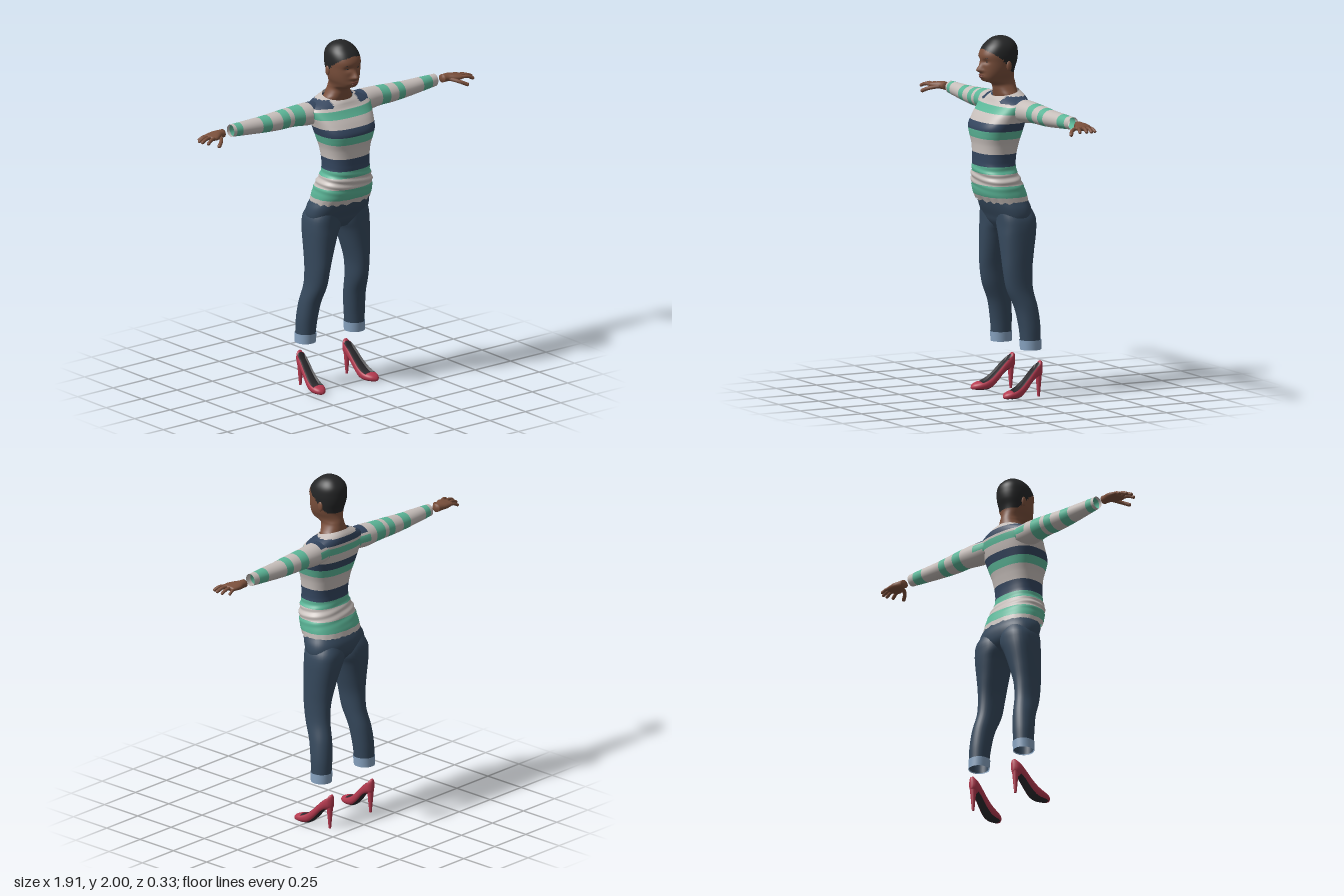
import * as THREE from 'three';

const mat = (name, color, side = THREE.FrontSide) => {
  const m = new THREE.MeshStandardMaterial({ color, side });
  m.name = name;
  return m;
};

const skin = mat('skin', 0x7b503c);
const hair = mat('hair black', 0x242526);
const lips = mat('lips', 0x6b3c33);
const grey = mat('shirt grey', 0xc6beba, THREE.DoubleSide);
const green = mat('shirt green', 0x5cb698, THREE.DoubleSide);
const navy = mat('shirt navy', 0x34465f, THREE.DoubleSide);
const denim = mat('denim', 0x36495d, THREE.DoubleSide);
const cuffBlue = mat('cuff blue', 0x88a4c2, THREE.DoubleSide);
const red = mat('shoe red', 0xb63a50);
const black = mat('sole black', 0x2c2a2e);

// Smooth value of every column of the sections at position t
function sample(sec, t) {
  let i = 0;
  while (i < sec.length - 2 && t > sec[i + 1][0]) i++;
  const a = sec[i], b = sec[i + 1], p = sec[i - 1] || a, q = sec[i + 2] || b;
  const h = b[0] - a[0], k = (t - a[0]) / h, k2 = k * k, k3 = k2 * k;
  return a.map((v, j) => {
    const ma = (b[j] - p[j]) / (b[0] - p[0]) * h, mb = (q[j] - v) / (q[0] - a[0]) * h;
    return (2 * k3 - 3 * k2 + 1) * v + (k3 - 2 * k2 + k) * ma + (3 * k2 - 2 * k3) * b[j] + (k3 - k2) * mb;
  });
}

// Lofts superellipse sections [t, uMin, uMax, vMin, vMax, exponent];
// map places a point in space, pick gives the material of each quad
function loft(name, sec, { n = 32, rows = 30, ease = k => k, map, pick, mats, flip = false, cap = false }) {
  const t0 = sec[0][0], t1 = sec[sec.length - 1][0], rings = [];
  const spow = (x, e) => Math.sign(x) * Math.pow(Math.abs(x), 2 / e);
  for (let r = 0; r <= rows; r++) {
    const [t, u0, u1, v0, v1, e] = sample(sec, t0 + (t1 - t0) * ease(r / rows));
    rings.push(Array.from({ length: n }, (_, i) => {
      const a = i / n * Math.PI * 2, c = Math.cos(a), s = Math.sin(a);
      return map((u0 + u1) / 2 + (u1 - u0) / 2 * spow(c, e), t, (v0 + v1) / 2 + (v1 - v0) / 2 * spow(s, e), c, s);
    }));
  }
  if (cap) {
    const middle = ring => {
      const m = new THREE.Vector3();
      ring.forEach(p => m.addScaledVector(p, 1 / n));
      return ring.map(() => m);
    };
    rings.unshift(middle(rings[0]));
    rings.push(middle(rings[rings.length - 1]));
  }
  const faces = mats.map(() => []);
  for (let r = 0; r < rings.length - 1; r++) for (let i = 0; i < n; i++) {
    const j = (i + 1) % n, am = (i + 0.5) / n * Math.PI * 2;
    const centre = rings[r][i].clone().add(rings[r][j]).add(rings[r + 1][i]).add(rings[r + 1][j]).multiplyScalar(0.25);
    const f = faces[pick ? mats.indexOf(pick(centre, Math.cos(am), Math.sin(am))) : 0];
    const a = r * n + i, b = r * n + j, c = a + n, d = b + n;
    if (flip) f.push(a, b, c, b, d, c);
    else f.push(a, c, b, b, c, d);
  }
  const geo = new THREE.BufferGeometry().setFromPoints(rings.flat());
  geo.setIndex(faces.flat());
  let start = 0;
  faces.forEach((f, k) => { geo.addGroup(start, f.length, k); start += f.length; });
  geo.computeVertexNormals();
  const mesh = new THREE.Mesh(geo, mats.length > 1 ? mats : mats[0]);
  mesh.name = name;
  return mesh;
}

const V = (x, y, z) => new THREE.Vector3(x, y, z);
const sym = rows => rows.map(([y, r, back, front, e = 2.2]) => [y, -r, r, back, front, e]);
const bump = (d, w) => Math.exp(-(d * d) / (w * w));
const clamp = THREE.MathUtils.clamp;
const inside = (v, ranges) => ranges.some(([a, b]) => v > a && v < b);

function ball(name, material, pos, scale) {
  const m = new THREE.Mesh(new THREE.SphereGeometry(1, 16, 12), material);
  m.name = name;
  m.position.set(...pos);
  m.scale.set(...scale);
  return m;
}

// Shirt stripes by height, with navy yoke patches on the shoulders
function stripe({ x, y, z }) {
  const ax = Math.abs(x);
  if (inside(y, [[1.635, 1.67]]) && ax < 0.19 && (ax > 0.09 || z < -0.05)) return navy;
  if (inside(y, [[1.485, 1.53], [1.285, 1.355]])) return navy;
  if (inside(y, [[1.58, 1.62], [1.44, 1.485], [1.245, 1.285], [1.115, 1.18]])) return green;
  return grey;
}

function head() {
  const g = new THREE.Group();
  g.name = 'head';
  g.add(loft('headAndNeck', sym([
    [1.62, 0.085, -0.09, 0.02], [1.67, 0.088, -0.088, 0.034], [1.70, 0.07, -0.086, 0.042],
    [1.725, 0.058, -0.082, 0.05], [1.738, 0.057, -0.08, 0.068], [1.75, 0.059, -0.077, 0.108],
    [1.765, 0.064, -0.073, 0.121], [1.79, 0.075, -0.07, 0.123], [1.82, 0.083, -0.075, 0.124],
    [1.86, 0.088, -0.088, 0.125], [1.9, 0.09, -0.092, 0.126], [1.94, 0.083, -0.087, 0.106],
    [1.97, 0.064, -0.066, 0.076], [1.99, 0.036, -0.036, 0.045], [2.0, 0.001, 0.003, 0.005],
  ]), {
    n: 72, rows: 80, ease: k => 1 - Math.pow(1 - k, 1.4), mats: [skin, hair],
    // Nose, eye sockets, mouth and chin are pushed out of the face
    map: (x, y, z) => {
      if (z > 0.05) {
        const nose = y > 1.812 ? bump(y - 1.812, 0.03) : bump(y - 1.812, 0.011);
        z += 0.031 * nose * bump(x, 0.014 + 0.006 * bump(y - 1.808, 0.012));
        z -= 0.011 * bump(Math.abs(x) - 0.035, 0.02) * bump(y - 1.862, 0.013);
        z += 0.008 * bump(x, 0.028) * bump(y - 1.779, 0.013);
        z -= 0.004 * bump(x, 0.03) * bump(y - 1.762, 0.006);
      }
      return V(x, y, z);
    },
    pick: ({ y, z }) => y > (z > 0.03 ? 1.87 + (z - 0.03) * 0.7 : 1.8 + clamp(z + 0.03, 0, 0.06) * 1.17) ? hair : skin,
  }));
  for (const s of [1, -1]) {
    g.add(ball('ear', skin, [s * 0.088, 1.838, -0.004], [0.008, 0.028, 0.016]));
    g.add(ball('eye', hair, [s * 0.035, 1.861, 0.1045], [0.012, 0.0035, 0.006]));
    g.add(ball('eyebrow', hair, [s * 0.037, 1.884, 0.112], [0.018, 0.0025, 0.006]));
  }
  g.add(ball('upperLip', lips, [0, 1.784, 0.124], [0.024, 0.005, 0.009]));
  g.add(ball('lowerLip', lips, [0, 1.775, 0.123], [0.02, 0.006, 0.01]));
  return g;
}

function torso() {
  return loft('shirtBody', sym([
    [1.085, 0.175, -0.128, 0.115, 2.5], [1.13, 0.173, -0.118, 0.138, 2.5], [1.2, 0.163, -0.09, 0.15, 2.5],
    [1.26, 0.14, -0.065, 0.152, 2.5], [1.32, 0.135, -0.062, 0.15, 2.5], [1.4, 0.143, -0.075, 0.152, 2.6],
    [1.46, 0.16, -0.09, 0.162, 2.7], [1.5, 0.172, -0.1, 0.163, 2.7], [1.55, 0.185, -0.112, 0.135, 2.6],
    [1.6, 0.2, -0.12, 0.095, 2.5], [1.63, 0.2, -0.122, 0.075, 2.4], [1.655, 0.175, -0.12, 0.065, 2.3],
    [1.68, 0.13, -0.112, 0.057, 2.2], [1.7, 0.094, -0.096, 0.047, 2],
  ]), {
    n: 64, rows: 123, mats: [grey, green, navy], pick: stripe,
    // Waist folds, uneven hem and a neckline that drops at the front
    map: (x, y, z, c, s) => {
      const fold = 1 + 0.025 * bump(y - 1.22, 0.05) * Math.sin(y * 160 + x * 22 + z * 9);
      const hem = 0.006 * Math.sin(Math.atan2(s, c) * 17) * clamp((1.12 - y) / 0.035, 0, 1);
      const drop = 0.035 * clamp((y - 1.62) / 0.08, 0, 1) * (0.5 + 0.5 * s);
      return V(x * fold, y - drop + hem, z * fold);
    },
  });
}

function arm(s) {
  const g = new THREE.Group();
  g.name = s > 0 ? 'leftArm' : 'rightArm';
  const bands = s > 0 ? [[0.3, 0.36], [0.42, 0.47], [0.61, 0.68]] : [[0.25, 0.32], [0.35, 0.4], [0.47, 0.53], [0.66, 0.7]];
  const map = (y, x, z) => V(s * x, y, z);
  g.add(loft('sleeve', [
    [0.12, 1.54, 1.66, -0.112, 0.02, 2], [0.2, 1.535, 1.661, -0.12, 0.018, 2], [0.3, 1.544, 1.655, -0.12, 0.004, 2],
    [0.4, 1.545, 1.649, -0.117, 0, 2], [0.5, 1.55, 1.642, -0.113, -0.01, 2], [0.6, 1.558, 1.64, -0.108, -0.02, 2],
    [0.72, 1.568, 1.637, -0.1, -0.035, 2],
  ], {
    n: 28, rows: 60, map, flip: s > 0, mats: [grey, green, navy],
    pick: p => Math.abs(p.x) < 0.2 ? stripe(p) : inside(Math.abs(p.x), bands) ? green : grey,
  }));
  g.add(loft('palm', [
    [0.772, 1.576, 1.622, -0.095, -0.045, 2], [0.8, 1.578, 1.622, -0.098, -0.04, 2], [0.83, 1.58, 1.62, -0.105, -0.02, 2.3],
    [0.86, 1.583, 1.615, -0.103, -0.006, 2.5], [0.888, 1.587, 1.61, -0.098, -0.012, 2.5],
  ], { n: 20, rows: 12, map, flip: s > 0, mats: [skin], cap: true }));
  // Fingers and thumb: [base, middle, tip, radius]
  const digits = [
    [[0.87, 1.6, -0.021], [0.905, 1.6, -0.007], [0.932, 1.588, 0.002], 0.0095],
    [[0.87, 1.6, -0.044], [0.915, 1.602, -0.036], [0.947, 1.59, -0.031], 0.0095],
    [[0.87, 1.6, -0.067], [0.91, 1.6, -0.065], [0.942, 1.587, -0.064], 0.009],
    [[0.865, 1.598, -0.09], [0.895, 1.596, -0.094], [0.918, 1.584, -0.098], 0.008],
    [[0.81, 1.595, -0.045], [0.845, 1.583, 0.005], [0.875, 1.568, 0.026], 0.0105],
  ];
  for (const [a, b, c, r] of digits) {
    const pts = [a, b, c].map(([x, y, z]) => V(s * x, y, z));
    const finger = new THREE.Mesh(new THREE.TubeGeometry(new THREE.CatmullRomCurve3(pts), 8, r, 10), skin);
    finger.name = 'finger';
    g.add(finger, ball('fingertip', skin, pts[2].toArray(), [r, r, r]));
  }
  return g;
}

function leg(s) {
  const g = new THREE.Group();
  g.name = s > 0 ? 'leftLeg' : 'rightLeg';
  const map = (x, y, z) => V(s * x, y, z);
  g.add(loft('trouserLeg', [
    [0.272, 0.122, 0.225, -0.146, -0.039, 2.1], [0.32, 0.118, 0.226, -0.148, -0.035, 2.1], [0.4, 0.11, 0.225, -0.148, -0.026, 2.1],
    [0.5, 0.1, 0.215, -0.138, -0.005, 2.1], [0.6, 0.09, 0.2, -0.117, 0.037, 2.1], [0.7, 0.079, 0.198, -0.115, 0.055, 2.1],
    [0.8, 0.053, 0.2, -0.127, 0.06, 2.2], [0.9, 0.022, 0.201, -0.143, 0.063, 2.4], [0.95, -0.002, 0.2, -0.148, 0.063, 2.5],
    [1.0, -0.003, 0.193, -0.147, 0.066, 2.4], [1.06, 0.005, 0.165, -0.122, 0.07, 2.2],
  ], { n: 32, rows: 50, map, flip: s < 0, mats: [denim] }));
  g.add(loft('cuff', [
    [0.268, 0.117, 0.23, -0.151, -0.034, 2.1], [0.322, 0.113, 0.23, -0.152, -0.03, 2.1],
  ], { n: 32, rows: 3, map, flip: s < 0, mats: [cuffBlue] }));
  return g;
}

function shoe(s) {
  const g = new THREE.Group();
  g.name = s > 0 ? 'leftShoe' : 'rightShoe';
  const cx = z => 0.18 + 0.11 * z;
  g.add(loft('pump', [
    [-0.168, 0.01, 0.125, 0.193], [-0.155, 0.024, 0.115, 0.2], [-0.135, 0.03, 0.108, 0.19], [-0.1, 0.033, 0.085, 0.157],
    [-0.06, 0.036, 0.04, 0.116], [-0.02, 0.041, 0.007, 0.08], [0.02, 0.043, 0, 0.056], [0.05, 0.038, 0.002, 0.045],
    [0.075, 0.023, 0.004, 0.034], [0.085, 0.007, 0.009, 0.022],
  ].map(([z, w, bottom, top]) => [z, -w, w, bottom, top, 2.3]), {
    n: 40, rows: 44, flip: s > 0, cap: true, mats: [red, black],
    // The foot opening is sunk into the top
    map: (x, z, y, c, sn) => {
      const dip = sn > 0.6 ? 0.022 * clamp((z + 0.155) / 0.03, 0, 1) * clamp((0.04 - z) / 0.04, 0, 1) : 0;
      return V(s * (cx(z) + x), y - dip, z);
    },
    pick: ({ z }, c, sn) => (sn > 0.6 && z > -0.145 && z < 0.035) || (sn < -0.65 && z < 0.07 && z > -0.13) ? black : red,
  }));
  const heel = new THREE.Mesh(new THREE.CylinderGeometry(0.019, 0.007, 0.135, 16), red);
  heel.name = 'heel';
  heel.position.set(s * cx(-0.147), 0.0675, -0.147);
  g.add(heel);
  return g;
}

export function createModel() {
  const model = new THREE.Group();
  model.name = 'woman';
  model.add(head(), torso());
  // Hips taper into the legs below
  model.add(loft('hips', sym([
    [0.93, 0.12, -0.09, 0.03, 2.3], [0.97, 0.175, -0.127, 0.058, 2.4], [1.0, 0.192, -0.14, 0.07, 2.4],
    [1.05, 0.19, -0.141, 0.093, 2.4], [1.1, 0.17, -0.12, 0.11, 2.5], [1.13, 0.16, -0.105, 0.115, 2.5],
  ]), { n: 48, rows: 20, map: V, mats: [denim] }));
  for (const s of [1, -1]) model.add(arm(s), leg(s), shoe(s));
  return model;
}
